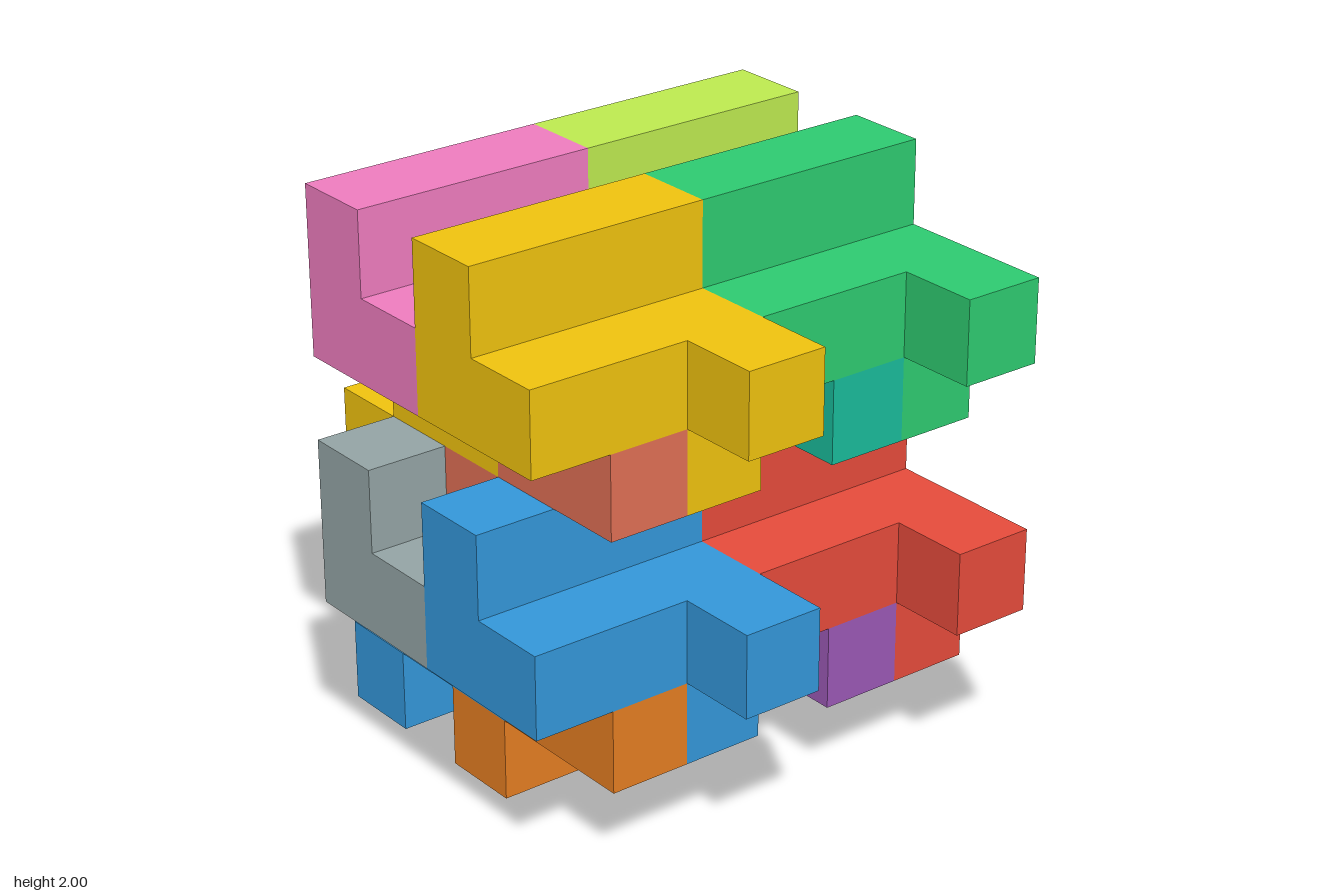
import * as THREE from 'three';
import { mergeGeometries } from 'three/addons/utils/BufferGeometryUtils.js';

const U = 2 / 7; // edge of one cube

// Cells of a hooked piece, [x, y, z] in cubes: bottom rod, plate with a tooth, peg on top.
const lowerHook = [
  [0, 0, 0], [0, 0, 1], [0, 0, 2],
  [0, 1, 0], [1, 1, 0], [1, 1, 1], [1, 1, 2], [2, 1, 2],
  [1, 2, 2],
];

// The matching piece hooks down from above: the same cells turned half round x.
const upperHook = lowerHook.map(([x, y, z]) => [x, 3 - y, 3 - z]);

// Directions of a cube's faces, each with the x and y rotation of a plane facing that way.
const sides = [
  [1, 0, 0, 0, Math.PI / 2], [-1, 0, 0, 0, -Math.PI / 2],
  [0, 1, 0, -Math.PI / 2, 0], [0, -1, 0, Math.PI / 2, 0],
  [0, 0, 1, 0, 0], [0, 0, -1, 0, Math.PI],
];

// Outer skin of a set of cubes, without faces between its own cubes.
function skin(cells) {
  const filled = new Set(cells.map((c) => c.join()));
  const faces = [];
  for (const [x, y, z] of cells) {
    for (const [dx, dy, dz, rx, ry] of sides) {
      if (filled.has([x + dx, y + dy, z + dz].join())) continue;
      faces.push(new THREE.PlaneGeometry(U, U).rotateX(rx).rotateY(ry).translate(
        (x + 0.5 + dx / 2) * U, (y + 0.5 + dy / 2) * U, (z + 0.5 + dz / 2) * U));
    }
  }
  return mergeGeometries(faces);
}

export function createModel() {
  const model = new THREE.Group();
  const lower = skin(lowerHook);
  const upper = skin(upperHook);

  // Each kind of piece: first column along x, and its colours in the order of places.
  const main = [0xf1c40f, 0x2ecc71, 0x3498db, 0xe74c3c];
  const kinds = [
    ['lowerHookRight', lower, 0, main],
    ['lowerHookLeft', lower, 2, [0xe17055, 0x1abc9c, 0xe67e22, 0x9b59b6]],
    ['upperHookRight', upper, 1, [0xf07dc0, 0xbfec50, 0x95a5a6, 0x34495e]],
    ['upperHookLeft', upper, 3, main],
  ];

  // Every kind repeats each 3 cubes in height and in depth: [name, row, depth].
  const places = [
    ['TopFront', 3, 3], ['TopBack', 3, 0], ['BottomFront', 0, 3], ['BottomBack', 0, 0],
  ];

  for (const [name, geometry, column, colors] of kinds) {
    places.forEach(([place, row, depth], i) => {
      const mesh = new THREE.Mesh(geometry, new THREE.MeshStandardMaterial({ color: colors[i] }));
      mesh.name = name + place;
      mesh.position.set((column - 3) * U, row * U, (depth - 3.5) * U);
      model.add(mesh);
    });
  }
  return model;
}
